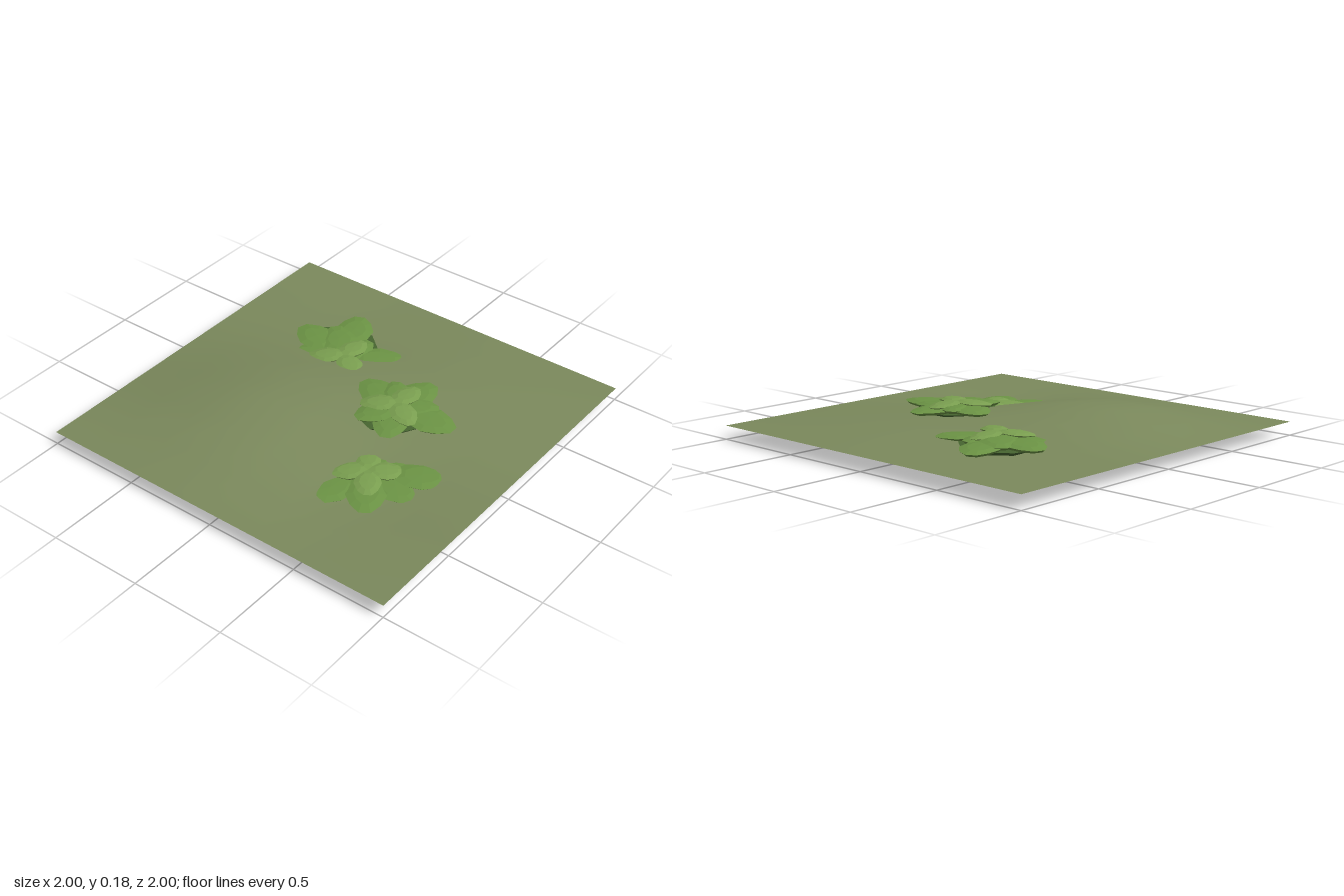
import * as THREE from 'three';

const groundMat = new THREE.MeshStandardMaterial({ color: 0x7b895c, side: THREE.DoubleSide });
const leafMat = new THREE.MeshStandardMaterial({ color: 0x6c9445, flatShading: true });
const lightLeafMat = new THREE.MeshStandardMaterial({ color: 0x7a9f50, flatShading: true });
const baseMat = new THREE.MeshStandardMaterial({ color: 0x476530, flatShading: true });

// Smooth bump around (bx, bz) with the given height and radius
const bump = (x, z, bx, bz, height, radius) =>
  height * Math.exp(-((x - bx) ** 2 + (z - bz) ** 2) / (2 * radius * radius));

// Rolling ground: a hill, a low ridge and two hollows, fading to a level border
function groundHeight(x, z) {
  const edge = Math.min(1, (1 - Math.abs(x)) * 3) * Math.min(1, (1 - Math.abs(z)) * 3);
  const h = bump(x, z, -0.3, 0.25, 0.105, 0.4) + bump(x, z, 0.35, -0.3, 0.035, 0.5)
    - bump(x, z, 0.42, 0.42, 0.055, 0.28) - bump(x, z, -0.35, -0.45, 0.03, 0.25);
  return 0.07 + h * edge;
}

function createGround() {
  const geo = new THREE.PlaneGeometry(2, 2, 8, 8).rotateX(-Math.PI / 2);
  const p = geo.attributes.position;
  for (let i = 0; i < p.count; i++) p.setY(i, groundHeight(p.getX(i), p.getZ(i)));
  geo.computeVertexNormals();
  const mesh = new THREE.Mesh(geo, groundMat);
  mesh.name = 'ground';
  return mesh;
}

// Leaf of unit width and length along +z, lofted from its underside to its domed top
function leafGeometry() {
  const half = [[0.2, 0], [0.42, 0.22], [0.5, 0.52], [0.36, 0.8], [0.14, 1]];
  const outline = [...half, ...half.slice().reverse().map(([x, z]) => [-x, z])];
  const rings = [[0, -0.016], [0.85, -0.014], [1, 0], [0.6, 0.008], [0, 0.01]];
  const n = outline.length;
  const pos = [];
  const idx = [];
  rings.forEach(([s, y], r) => {
    for (const [x, z] of outline) pos.push(x * s, y, 0.5 + (z - 0.5) * s);
    if (r === 0) return;
    for (let i = 0; i < n; i++) {
      const j = (i + 1) % n;
      const a = (r - 1) * n;
      const b = r * n;
      idx.push(a + j, a + i, b + i, a + j, b + i, b + j);
    }
  });
  const geo = new THREE.BufferGeometry();
  geo.setAttribute('position', new THREE.Float32BufferAttribute(pos, 3));
  geo.setIndex(idx);
  geo.computeVertexNormals();
  return geo;
}

// Leaf pointing away from a plant's centre, at an angle measured from +z towards +x
function createLeaf(geo, mat, [cx, cz], angle, reach, y, tilt) {
  const length = Math.min(reach, 0.27);
  const start = reach - length;
  const leaf = new THREE.Mesh(geo, mat);
  leaf.name = 'leaf';
  leaf.position.set(cx + Math.sin(angle) * start, y, cz + Math.cos(angle) * start);
  leaf.rotation.set(tilt, angle, 0, 'YXZ');
  leaf.scale.set(length * 0.75, 1, length);
  return leaf;
}

function createPlant(geo, { name, centre, disc, discY, radius, leafY, inner, turn, tips }) {
  const plant = new THREE.Group();
  plant.name = name;

  // Flat root disc, flaring upwards out of the soil
  const base = new THREE.Mesh(new THREE.CylinderGeometry(radius, radius * 0.78, 0.04, 9), baseMat);
  base.name = 'rootDisc';
  base.position.set(disc[0], discY + 0.02, disc[1]);
  plant.add(base);

  // Outer leaves reach their tips at slightly staggered heights
  tips.forEach(([x, z], i) => {
    const dx = x - centre[0];
    const dz = z - centre[1];
    const y = leafY + (i % 3) * 0.005;
    plant.add(createLeaf(geo, leafMat, centre, Math.atan2(dx, dz), Math.hypot(dx, dz), y, 0.03));
  });

  // Small inner leaves form an even ring on top
  for (let i = 0; i < inner; i++) {
    const angle = turn + (i / inner) * Math.PI * 2;
    plant.add(createLeaf(geo, lightLeafMat, centre, angle, 0.18, leafY + 0.021, 0.07));
  }
  return plant;
}

export function createModel() {
  const model = new THREE.Group();
  model.name = 'groundWithPlants';
  model.add(createGround());

  const geo = leafGeometry();
  model.add(
    createPlant(geo, {
      name: 'backPlant', centre: [-0.24, -0.33], disc: [-0.33, -0.41],
      discY: 0.045, radius: 0.21, leafY: 0.1, inner: 3, turn: Math.PI,
      tips: [[-0.41, -0.7], [-0.6, -0.44], [-0.45, -0.54], [-0.53, -0.2],
        [-0.47, -0.03], [0, -0.06], [0.02, -0.52], [-0.22, -0.54]],
    }),
    createPlant(geo, {
      name: 'middlePlant', centre: [0.26, -0.11], disc: [0.25, -0.1],
      discY: 0.09, radius: 0.2, leafY: 0.147, inner: 3, turn: Math.PI,
      tips: [[0.3, -0.38], [0, -0.19], [0.14, -0.27], [0.59, -0.13],
        [0.44, -0.22], [0.16, 0.09], [0.36, 0.12]],
    }),
    createPlant(geo, {
      name: 'frontPlant', centre: [0.4, 0.31], disc: [0.38, 0.3],
      discY: 0, radius: 0.23, leafY: 0.062, inner: 4, turn: Math.PI * 1.2,
      tips: [[0.28, 0.63], [0.56, 0.55], [0.74, 0.11], [0.7, 0.32],
        [0.54, 0.06], [0.38, 0.13], [0.17, 0.22], [0.11, 0.4]],
    }),
  );
  return model;
}
